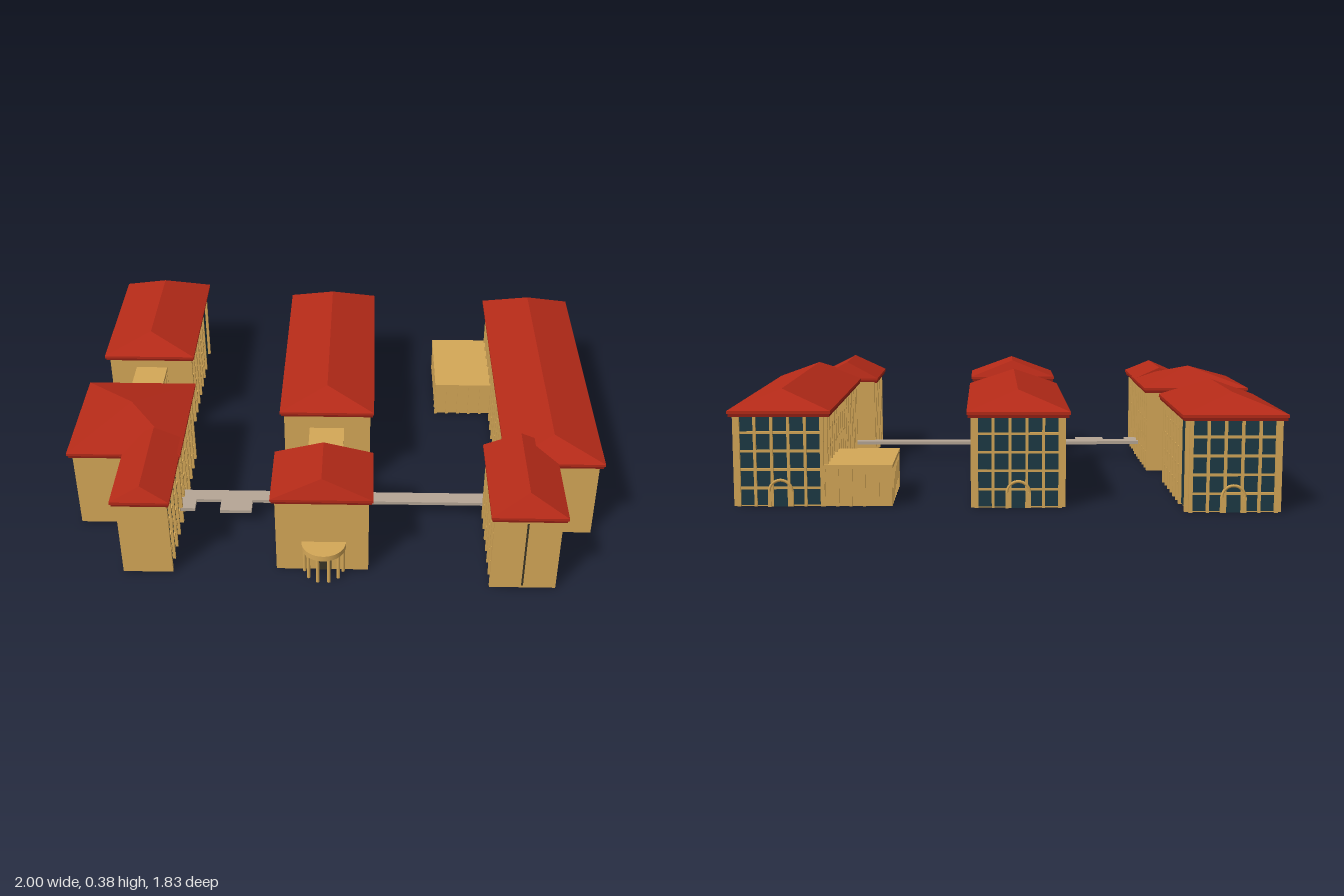
import * as THREE from 'three';
import { ConvexGeometry } from 'three/addons/geometries/ConvexGeometry.js';

const mat = (color, extra = {}) => new THREE.MeshStandardMaterial({ color, ...extra });
const TAN = mat(0xd4a757), GLASS = mat(0x1d3a45), RED = mat(0xb52a18, { flatShading: true });
const FASCIA = mat(0x8f1f14), PAVING = mat(0xb5a595), DARK = mat(0x3a3526);
const WALL = 0.297, INSET = 0.025;

// Box given by its limits on each axis
function block(parent, name, x0, x1, y0, y1, z0, z1, material) {
  const m = new THREE.Mesh(new THREE.BoxGeometry(x1 - x0, y1 - y0, z1 - z0), material);
  m.position.set((x0 + x1) / 2, (y0 + y1) / 2, (z0 + z1) / 2);
  m.name = name;
  parent.add(m);
  return m;
}

// Glazed facade in its own xy plane, facing +z; 'plain' bays have no grid
function facade(w, { plain = 0, door = false } = {}) {
  const g = new THREE.Group();
  const bays = Math.max(3, Math.round(w / 0.061)), step = (w - 0.012) / bays;
  const left = -w / 2 + 0.006;
  block(g, 'glass', -w / 2 + 0.004, w / 2 - 0.004, 0.004, WALL, -0.004, 0.002, GLASS);
  for (let i = 0; i <= bays; i++) {
    if (i > bays - plain && i < bays) continue;
    const x = left + i * step, t = i === 0 || i === bays ? 0.006 : 0.0045;
    block(g, 'pilaster', x - t, x + t, 0, WALL, 0, 0.012, TAN);
  }
  const end = w / 2 - plain * step;
  for (let k = 1; k <= 4; k++) {
    block(g, 'floorBand', -w / 2, end, k * 0.06 - 0.004, k * 0.06 + 0.004, 0, 0.007, TAN);
  }
  if (door) {
    block(g, 'door', -0.034, 0.034, 0, 0.055, 0, 0.009, GLASS);
    const arch = new THREE.Mesh(new THREE.TorusGeometry(0.036, 0.005, 6, 16, Math.PI), TAN);
    arch.position.set(0, 0.05, 0.009);
    arch.name = 'doorArch';
    g.add(arch);
    for (const s of [-1, 1]) block(g, 'doorPost', s * 0.036 - 0.005, s * 0.036 + 0.005, 0, 0.05, 0, 0.014, TAN);
  }
  return g;
}

// Hipped roof over a rectangle; hips set the ridge back from each end
function roof(parent, u0, u1, v0, v1, top, hipBack, hipFront) {
  block(parent, 'eaves', u0 + 0.004, u1 - 0.004, 0.293, 0.306, v0 + 0.004, v1 - 0.004, FASCIA);
  const pts = [], mid = (u0 + u1) / 2;
  for (const y of [0.303, 0.312]) {
    for (const u of [u0, u1]) for (const v of [v0, v1]) pts.push(new THREE.Vector3(u, y, v));
  }
  pts.push(new THREE.Vector3(mid, top, v0 + hipBack));
  if (v1 - hipFront - (v0 + hipBack) > 0.01) pts.push(new THREE.Vector3(mid, top, v1 - hipFront));
  const m = new THREE.Mesh(new ConvexGeometry(pts), RED);
  m.name = 'roof';
  parent.add(m);
}

// Walls, glazed sides and roof; sides not listed stay solid
function building(parent, b) {
  const g = new THREE.Group();
  g.name = b.name;
  const [u0, u1, v0, v1] = b.rect;
  const x0 = u0 + INSET, x1 = u1 - INSET;
  const z0 = v0 + (b.joinBack ? 0 : INSET), z1 = v1 - INSET;
  block(g, 'walls', x0, x1, 0, WALL, z0, z1, TAN);
  const cx = (x0 + x1) / 2, cz = (z0 + z1) / 2;
  const place = {
    east: [x1, cz, Math.PI / 2, z1 - z0],
    west: [x0, cz, -Math.PI / 2, z1 - z0],
    back: [cx, z0, Math.PI, x1 - x0],
  };
  for (const [side, options] of Object.entries(b.sides)) {
    const [x, z, turn, w] = place[side];
    const f = facade(w, options);
    f.name = side + 'Facade';
    f.position.set(x, 0, z);
    f.rotation.y = turn;
    g.add(f);
  }
  roof(g, u0, u1, v0, v1, b.top ?? 0.375, b.hips[0], b.hips[1]);
  parent.add(g);
}

// Low solid link with a flat roof and thin pilasters on all sides
function annex(parent, name, u0, u1, v0, v1, h, y0 = 0) {
  const g = new THREE.Group();
  g.name = name;
  block(g, 'walls', u0 + 0.008, u1 - 0.008, y0, h - 0.01, v0 + 0.008, v1 - 0.008, TAN);
  block(g, 'flatRoof', u0, u1, h - 0.012, h, v0, v1, TAN);
  const nu = Math.max(2, Math.round((u1 - u0) / 0.045)), nv = Math.max(2, Math.round((v1 - v0) / 0.045));
  for (let i = 0; i <= nu; i++) {
    const u = u0 + 0.006 + (u1 - u0 - 0.012) * i / nu;
    for (const v of [v0 + 0.006, v1 - 0.006]) block(g, 'pilaster', u - 0.005, u + 0.005, y0, h - 0.01, v - 0.005, v + 0.005, TAN);
  }
  for (let i = 1; i < nv; i++) {
    const v = v0 + (v1 - v0) * i / nv;
    for (const u of [u0 + 0.006, u1 - 0.006]) block(g, 'pilaster', u - 0.005, u + 0.005, y0, h - 0.01, v - 0.005, v + 0.005, TAN);
  }
  parent.add(g);
}

export function createModel() {
  const model = new THREE.Group();
  model.name = 'campus';
  // The whole plan is turned 15 degrees
  const plan = new THREE.Group();
  plan.name = 'plan';
  plan.rotation.y = -Math.PI / 12;
  model.add(plan);

  const buildings = [
    { name: 'longBlock', rect: [0.543, 0.873, -0.605, 0.47], hips: [0.08, 0.08], sides: { east: {}, west: {}, back: { door: true } } },
    { name: 'longBlockWing', rect: [0.477, 0.719, 0.365, 0.75], hips: [0.02, 0.05], joinBack: true, sides: { east: {}, west: {} } },
    { name: 'middleBlock', rect: [-0.22, 0.11, -0.635, 0.192], hips: [0.08, 0.08], sides: { east: { plain: 2 }, west: {}, back: { door: true } } },
    { name: 'entranceBlock', rect: [-0.222, 0.108, 0.42, 0.675], hips: [0.03, 0.03], sides: { east: {}, west: {} } },
    { name: 'squareBlock', rect: [-0.916, -0.535, 0.018, 0.448], hips: [0.21, 0.215], sides: { east: {}, west: {} } },
    { name: 'squareBlockWing', rect: [-0.729, -0.538, 0.35, 0.70], hips: [0, 0.03], top: 0.355, joinBack: true, sides: { east: {}, west: {} } },
    { name: 'rearBlock', rect: [-0.895, -0.563, -0.712, -0.158], hips: [0.08, 0.08], sides: { east: { plain: 2 }, west: {}, back: { door: true } } },
  ];
  buildings.forEach((b) => building(plan, b));

  // Links between blocks and the side hall
  annex(plan, 'rearLink', -0.785, -0.67, -0.19, 0.05, 0.25);
  annex(plan, 'middleLink', -0.117, 0.005, 0.16, 0.40, 0.23);
  annex(plan, 'entranceLobby', -0.19, 0.08, 0.362, 0.45, 0.25);
  annex(plan, 'sideHall', 0.348, 0.575, -0.59, -0.258, 0.135);

  // Narrow slit window on the wing front
  block(plan, 'slitWindow', 0.594, 0.6, 0.01, 0.27, 0.72, 0.727, DARK);

  // Raised walkway with two landings
  block(plan, 'walkway', -0.57, 0.57, 0.054, 0.066, 0.322, 0.374, PAVING);
  block(plan, 'wideLanding', -0.418, -0.309, 0.054, 0.066, 0.37, 0.432, PAVING);
  block(plan, 'narrowLanding', -0.57, -0.505, 0.054, 0.066, 0.37, 0.424, PAVING);

  // Half-round entrance porch on slim columns
  const porch = new THREE.Group();
  porch.name = 'entrancePorch';
  porch.position.set(-0.052, 0, 0.65);
  const canopy = new THREE.Mesh(new THREE.CylinderGeometry(0.073, 0.073, 0.02, 32, 1, false, -Math.PI / 2, Math.PI), TAN);
  canopy.position.y = 0.108;
  canopy.name = 'canopy';
  porch.add(canopy);
  for (let i = 0; i < 6; i++) {
    const a = 0.12 + (Math.PI - 0.24) * i / 5;
    const c = new THREE.Mesh(new THREE.CylinderGeometry(0.006, 0.006, 0.1, 10), TAN);
    c.position.set(Math.cos(a) * 0.064, 0.05, Math.sin(a) * 0.064);
    c.name = 'porchColumn';
    porch.add(c);
  }
  block(porch, 'porchDoor', -0.025, 0.025, 0, 0.08, -0.004, 0.003, DARK);
  plan.add(porch);
  return model;
}
